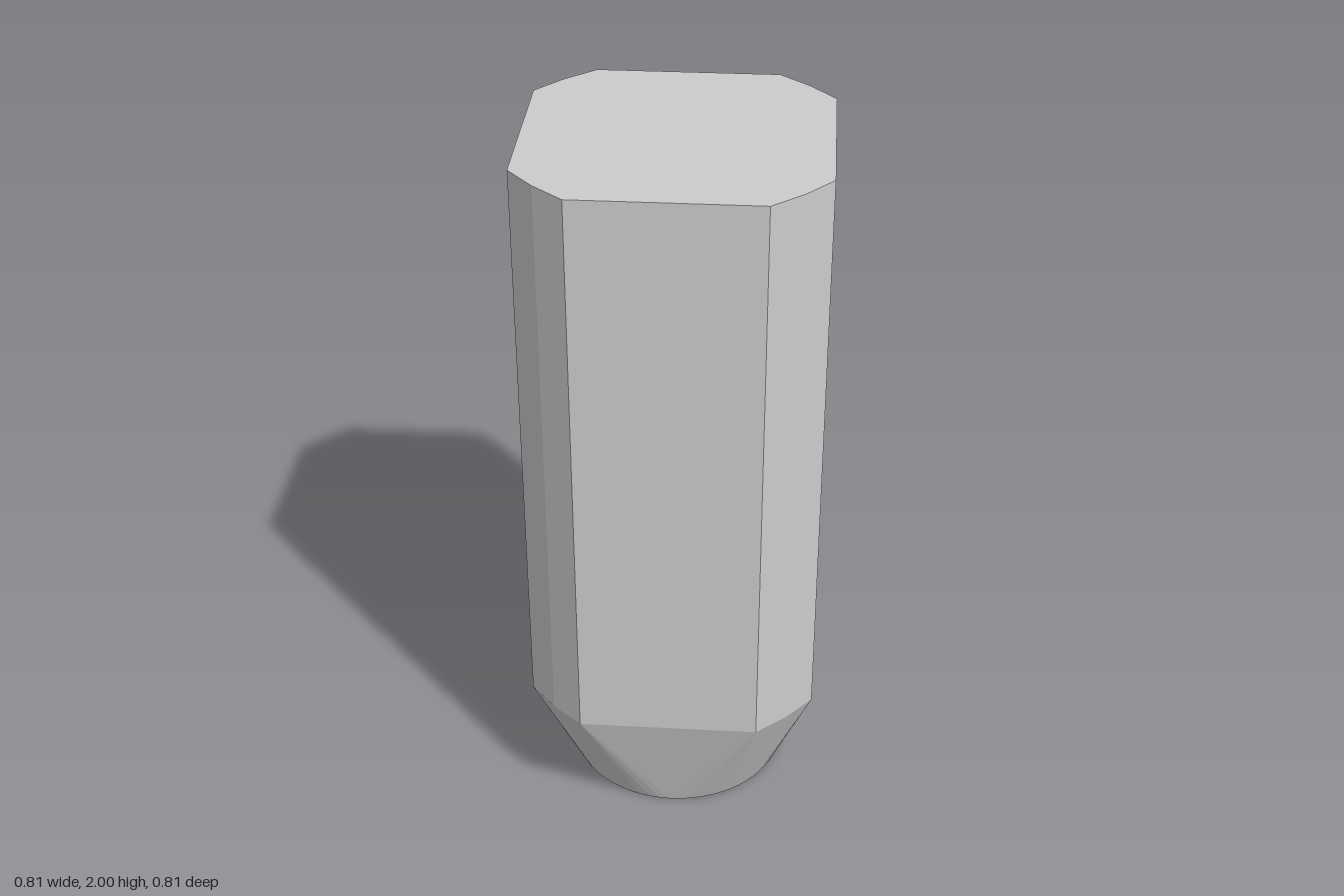
import * as THREE from 'three';
import { ConvexGeometry } from 'three/addons/geometries/ConvexGeometry.js';

const HALF = 0.405;      // half width across the flats
const FLAT = 0.25;       // half length of each flat
const CORNER = 0.333;    // middle point of each two-facet corner
const SHOULDER = 0.355;  // height where the taper meets the shaft
const HEIGHT = 2;
const FOOT_RADIUS = 0.312;
const FOOT_SIDES = 64;

// Square outline with bevelled, slightly bulged corners at height y
function shaftSection(y) {
  const up = new THREE.Vector3(0, 1, 0);
  const points = [];
  for (let i = 0; i < 4; i++) {
    for (const [x, z] of [[FLAT, HALF], [CORNER, CORNER], [HALF, FLAT]]) {
      points.push(new THREE.Vector3(x, 0, z).applyAxisAngle(up, i * Math.PI / 2).setY(y));
    }
  }
  return points;
}

// Round foot on the ground
function footSection() {
  return Array.from({ length: FOOT_SIDES }, (_, i) => {
    const a = i / FOOT_SIDES * Math.PI * 2;
    return new THREE.Vector3(FOOT_RADIUS * Math.sin(a), 0, FOOT_RADIUS * Math.cos(a));
  });
}

export function createModel() {
  const group = new THREE.Group();
  group.name = 'taperedPost';

  // The solid is convex: its hull blends the round foot into the faceted shaft
  const geometry = new ConvexGeometry([
    ...footSection(), ...shaftSection(SHOULDER), ...shaftSection(HEIGHT),
  ]);
  const post = new THREE.Mesh(geometry,
    new THREE.MeshStandardMaterial({ color: 0xcccccc, flatShading: true }));
  post.name = 'post';
  group.add(post);
  return group;
}
